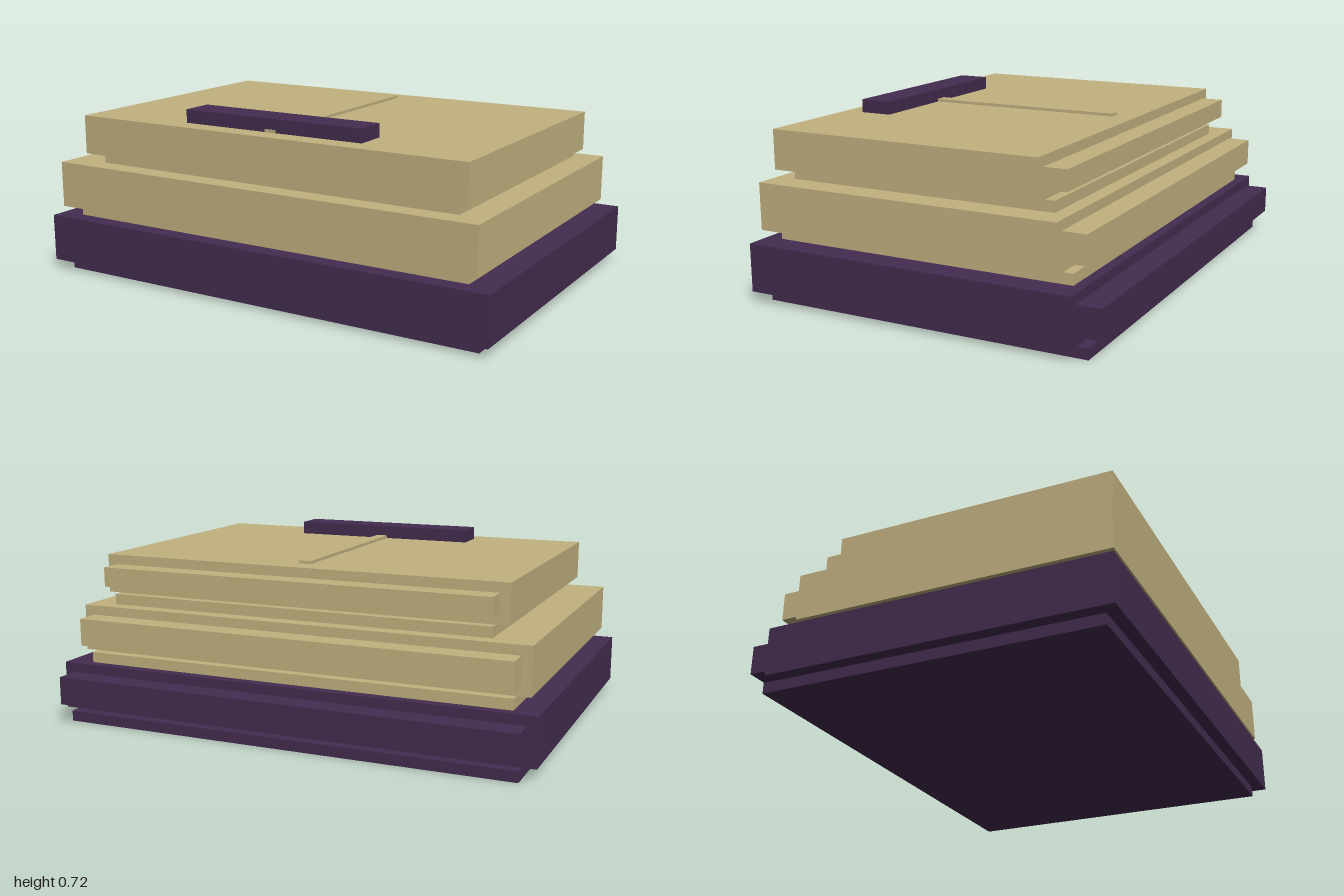
import * as THREE from 'three';

export function createModel() {
  const purple = new THREE.MeshStandardMaterial({ color: 0x442d50 });
  const sand = new THREE.MeshStandardMaterial({ color: 0xc2b280 });
  purple.name = 'dark purple';
  sand.name = 'sand';

  const model = new THREE.Group();
  model.name = 'bookStack';

  // Box given by its [min, max] extents on each axis
  function block(parent, name, material, x, y, z) {
    const mesh = new THREE.Mesh(
      new THREE.BoxGeometry(x[1] - x[0], y[1] - y[0], z[1] - z[0]), material);
    mesh.position.set((x[0] + x[1]) / 2, (y[0] + y[1]) / 2, (z[0] + z[1]) / 2);
    mesh.name = name;
    parent.add(mesh);
  }

  // A book: inset lower slab, thick body and a narrow spine at the back
  function book(name, material, { x, z, y, spineY, spineBack, lowerZ }) {
    const group = new THREE.Group();
    group.name = name;
    const inset = (d) => [x[0] + d, x[1] - d];
    block(group, 'lowerSlab', material, inset(0.054), [y[0], y[1]], lowerZ);
    block(group, 'body', material, x, [y[1], y[2]], z);
    block(group, 'spine', material, inset(0.04), spineY, [spineBack, z[0]]);
    model.add(group);
  }

  book('bottomBook', purple, {
    x: [-1, 1], z: [-0.635, 0.732], y: [0, 0.043, 0.236],
    spineY: [0.083, 0.197], spineBack: -0.732, lowerZ: [-0.678, 0.682],
  });
  book('middleBook', sand, {
    x: [-0.952, 0.946], z: [-0.555, 0.716], y: [0.236, 0.279, 0.468],
    spineY: [0.317, 0.429], spineBack: -0.65, lowerZ: [-0.594, 0.663],
  });
  book('topBook', sand, {
    x: [-0.84, 0.89], z: [-0.457, 0.682], y: [0.468, 0.511, 0.67],
    spineY: [0.55, 0.63], spineBack: -0.548, lowerZ: [-0.495, 0.631],
  });

  // Thin ribbon on the cover with a bar lying across its front end
  block(model, 'ribbon', sand, [0, 0.05], [0.67, 0.682], [-0.364, 0.6]);
  block(model, 'bar', purple, [-0.375, 0.425], [0.67, 0.724], [0.466, 0.598]);

  return model;
}
